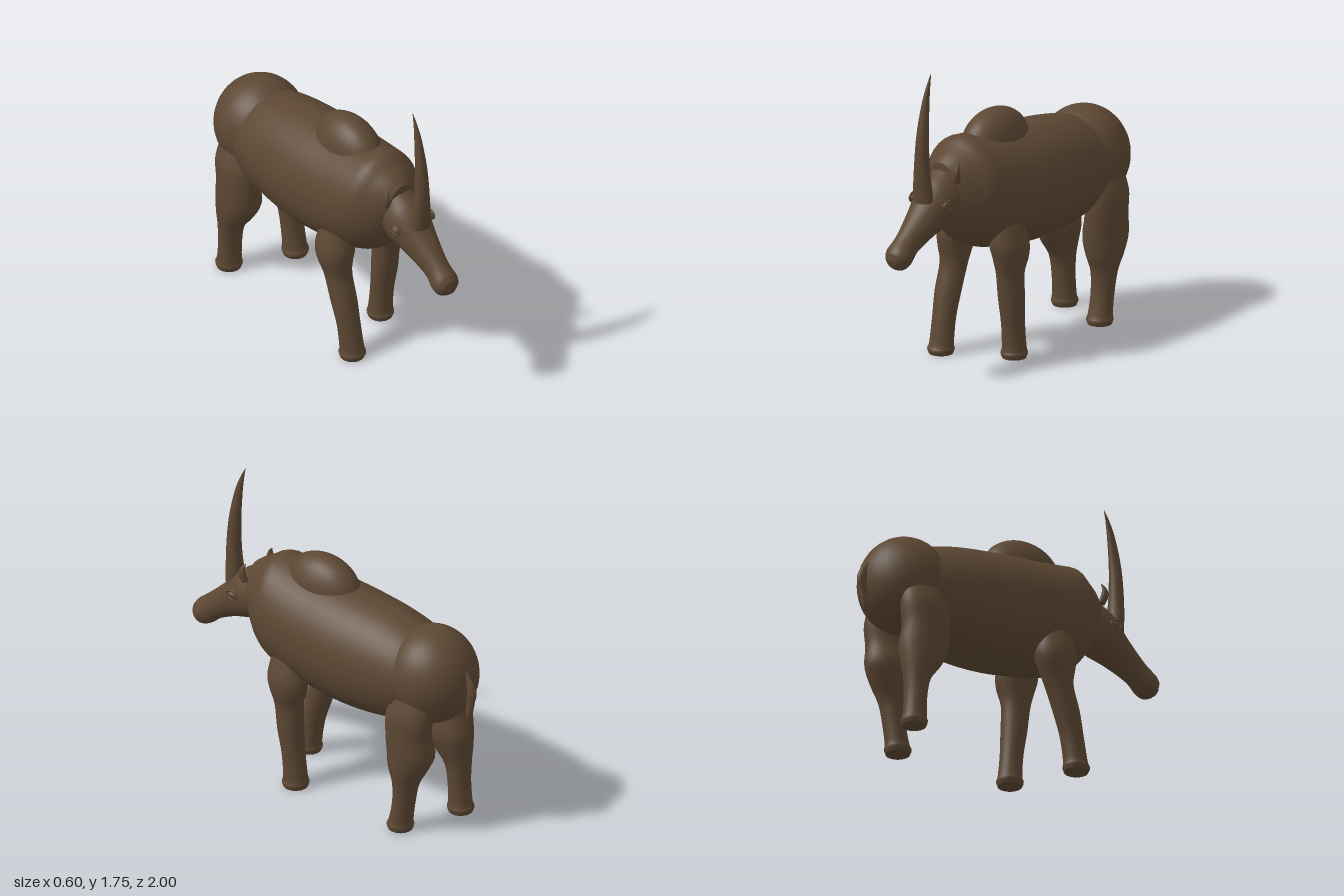
import * as THREE from 'three';

const hide = new THREE.MeshStandardMaterial({ color: 0x5c4733 });
hide.name = 'brown hide';

// Smooth capped loft through rows of [x, y, z, half width in x, half depth].
// Rings stay square to the given axis, or follow the path when none is given.
function loft(rows, axis = null, steps = 32, sides = 28) {
  const curve = (pts) => new THREE.CatmullRomCurve3(pts, false, 'catmullrom', 0.5);
  const path = curve(rows.map((r) => new THREE.Vector3(r[0], r[1], r[2])));
  const size = curve(rows.map((r) => new THREE.Vector3(r[3], r[4], 0)));
  const X = new THREE.Vector3(1, 0, 0);
  const pos = [], index = [];
  const ring = (u) => {
    const c = path.getPoint(u), s = size.getPoint(u);
    const t = axis ? axis.clone() : path.getTangent(u).setX(0).normalize();
    const B = t.cross(X).normalize();
    for (let j = 0; j < sides; j++) {
      const a = (j / sides) * Math.PI * 2, b = Math.sin(a) * s.y;
      pos.push(c.x + Math.cos(a) * s.x, c.y + B.y * b, c.z + B.z * b);
    }
    return c;
  };
  for (let i = 0; i <= steps; i++) {
    ring(i / steps);
    if (i === steps) break;
    for (let j = 0; j < sides; j++) {
      const k = (j + 1) % sides, a = i * sides, b = a + sides;
      index.push(a + j, a + k, b + k, a + j, b + k, b + j);
    }
  }
  // end caps with their own vertices, so the rim stays crisp
  for (const u of [0, 1]) {
    const base = pos.length / 3, c = ring(u);
    pos.push(c.x, c.y, c.z);
    for (let j = 0; j < sides; j++) {
      const k = (j + 1) % sides;
      index.push(base + sides, base + (u ? j : k), base + (u ? k : j));
    }
  }
  const g = new THREE.BufferGeometry();
  g.setAttribute('position', new THREE.Float32BufferAttribute(pos, 3));
  g.setIndex(index);
  g.computeVertexNormals();
  return g;
}

export function createModel() {
  const model = new THREE.Group();
  model.name = 'hornedBeast';

  const add = (name, geometry, parent = model) => {
    const mesh = new THREE.Mesh(geometry, hide);
    mesh.name = name;
    parent.add(mesh);
    return mesh;
  };
  const ellipsoid = (name, x, y, z, rx, ry, rz, parent) => {
    const m = add(name, new THREE.SphereGeometry(1, 32, 24), parent);
    m.position.set(x, y, z);
    m.scale.set(rx, ry, rz);
    return m;
  };

  // Barrel torso: z, top, bottom, half width
  const torso = [
    [-0.75, 1.10, 0.72, 0.20], [-0.60, 1.18, 0.63, 0.255], [-0.40, 1.23, 0.585, 0.285],
    [-0.15, 1.26, 0.575, 0.30], [0.10, 1.28, 0.605, 0.288], [0.28, 1.30, 0.645, 0.27],
    [0.38, 1.31, 0.69, 0.245], [0.45, 1.27, 0.75, 0.20], [0.51, 1.235, 0.84, 0.15],
    [0.555, 1.20, 0.93, 0.10],
  ].map(([z, top, bottom, w]) => [0, (top + bottom) / 2, z, w, (top - bottom) / 2]);
  add('torso', loft(torso, new THREE.Vector3(0, 0, 1), 40, 36));

  ellipsoid('rump', 0, 0.93, -0.69, 0.26, 0.282, 0.262);
  ellipsoid('shoulderHump', 0, 1.2, 0.085, 0.145, 0.2, 0.245);

  // Long head sloping down to a rounded muzzle
  add('head', loft([
    [0, 1.05, 0.49, 0.11, 0.14], [0, 0.98, 0.59, 0.128, 0.142], [0, 0.89, 0.73, 0.095, 0.1],
    [0, 0.808, 0.85, 0.07, 0.078], [0, 0.752, 0.92, 0.078, 0.077],
    [0, 0.732, 0.96, 0.064, 0.062], [0, 0.722, 0.985, 0.025, 0.025],
  ]));

  // Tall horn curving back
  add('horn', loft([
    [0, 1.02, 0.71, 0.065, 0.05], [0, 1.2, 0.722, 0.046, 0.044], [0, 1.4, 0.716, 0.034, 0.036],
    [0, 1.58, 0.69, 0.02, 0.024], [0, 1.68, 0.665, 0.009, 0.012], [0, 1.745, 0.642, 0.001, 0.001],
  ]));

  // Eyes with lids, and small pointed ears
  for (const side of [1, -1]) {
    const label = side > 0 ? 'left' : 'right';
    const eye = new THREE.Group();
    eye.name = label + 'Eye';
    eye.position.set(side * 0.115, 1.0, 0.64);
    model.add(eye);
    ellipsoid('eyeball', 0, 0, 0, 0.022, 0.022, 0.034, eye);
    const lid = add('eyelids', new THREE.TorusGeometry(0.026, 0.007, 10, 28), eye);
    lid.rotation.y = Math.PI / 2;
    lid.scale.x = 1.25;
    lid.position.x = side * 0.01;

    const ear = add(label + 'Ear', loft([
      [side * 0.112, 1.11, 0.55, 0.016, 0.02], [side * 0.122, 1.16, 0.565, 0.018, 0.022],
      [side * 0.122, 1.2, 0.56, 0.01, 0.013], [side * 0.115, 1.225, 0.545, 0.002, 0.002],
    ], null, 12, 14));
    ear.castShadow = false;
  }

  // Legs: x, y, half width, half depth per row; each leg has its own stride in z
  const down = new THREE.Vector3(0, -1, 0);
  const front = [
    [0.18, 0.8, 0.07, 0.1], [0.185, 0.68, 0.1, 0.125], [0.19, 0.6, 0.094, 0.112],
    [0.185, 0.5, 0.076, 0.085], [0.185, 0.35, 0.075, 0.075], [0.182, 0.2, 0.067, 0.066],
    [0.18, 0.06, 0.069, 0.068], [0.18, 0.028, 0.076, 0.077], [0.18, 0, 0.068, 0.068],
  ];
  const hind = [
    [0.165, 0.85, 0.08, 0.13], [0.18, 0.74, 0.1, 0.147], [0.18, 0.62, 0.105, 0.143],
    [0.168, 0.5, 0.116, 0.147], [0.175, 0.4, 0.1, 0.12], [0.18, 0.3, 0.076, 0.078],
    [0.18, 0.18, 0.068, 0.064], [0.18, 0.06, 0.069, 0.068], [0.18, 0.028, 0.076, 0.077],
    [0.18, 0, 0.068, 0.068],
  ];
  const leg = (name, side, rows, zs) =>
    add(name, loft(rows.map(([x, y, w, d], i) => [side * x, y, zs[i], w, d]), down));
  leg('frontLeftLeg', 1, front, [0.19, 0.185, 0.18, 0.178, 0.167, 0.15, 0.137, 0.137, 0.137]);
  leg('frontRightLeg', -1, front, [0.19, 0.19, 0.195, 0.215, 0.265, 0.305, 0.33, 0.335, 0.335]);
  leg('hindLeftLeg', 1, hind,
    [-0.68, -0.675, -0.667, -0.675, -0.66, -0.648, -0.635, -0.615, -0.61, -0.61]);
  leg('hindRightLeg', -1, hind,
    [-0.68, -0.675, -0.667, -0.675, -0.695, -0.725, -0.735, -0.742, -0.745, -0.745]);

  // Short tail hanging against the rump
  add('tail', loft([
    [0, 1.02, -0.925, 0.014, 0.016], [0, 0.92, -0.968, 0.022, 0.031], [0, 0.84, -0.962, 0.02, 0.025],
    [0, 0.765, -0.952, 0.018, 0.02], [0, 0.72, -0.95, 0.008, 0.01],
  ], null, 20, 16));

  return model;
}
